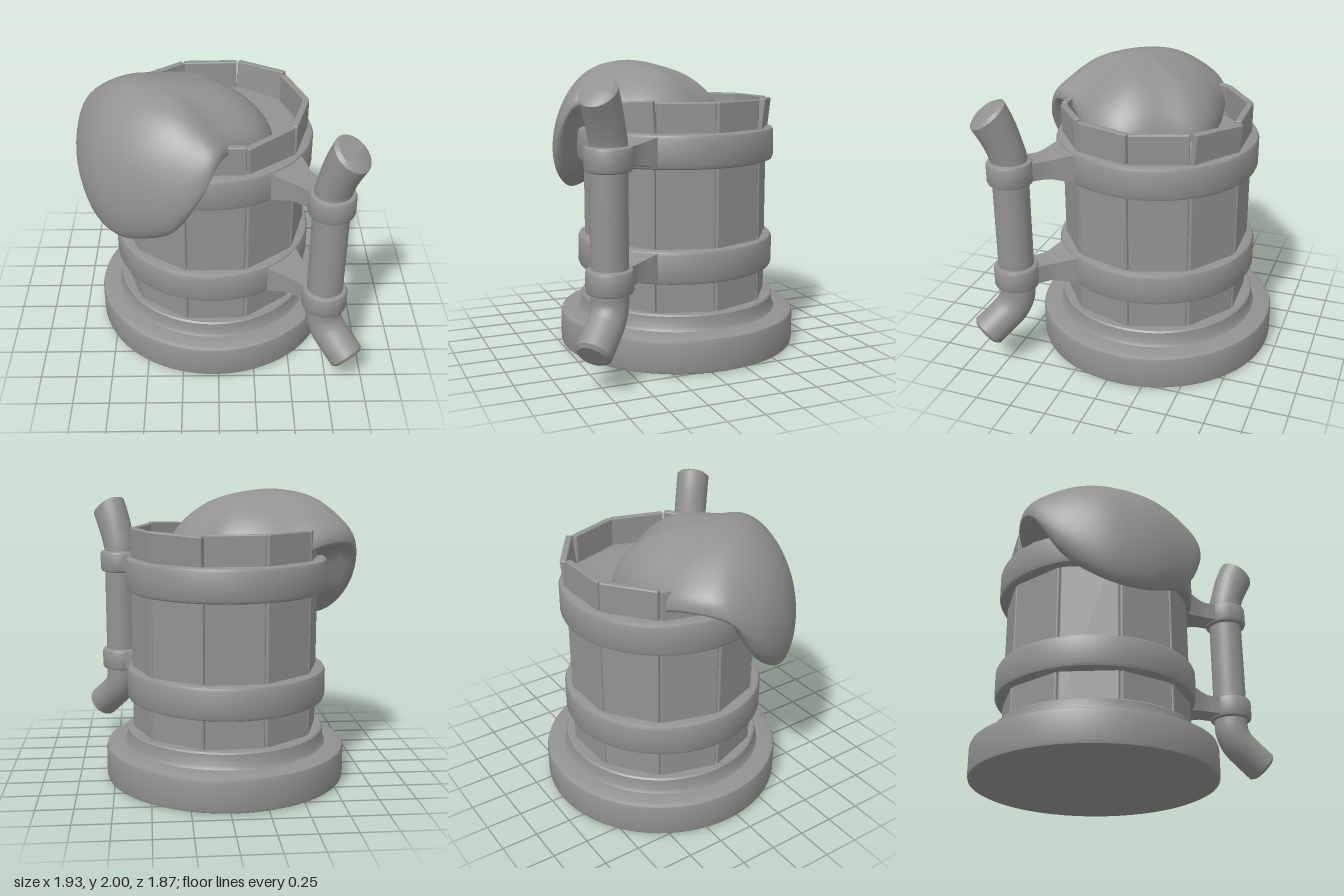
import * as THREE from 'three';
import { mergeVertices, mergeGeometries, toCreasedNormals } from 'three/addons/utils/BufferGeometryUtils.js';
import { RoundedBoxGeometry } from 'three/addons/geometries/RoundedBoxGeometry.js';
import { ParametricGeometry } from 'three/addons/geometries/ParametricGeometry.js';

const darkGrey = new THREE.MeshStandardMaterial({ color: 0x929292 });
const V = (x, y, z) => new THREE.Vector3(x, y, z);

function add(parent, name, geometry) {
  const mesh = new THREE.Mesh(geometry, darkGrey);
  mesh.name = name;
  parent.add(mesh);
  return mesh;
}

function lathe(profile, segments = 72) {
  const points = profile.map(([r, y]) => new THREE.Vector2(r, y));
  return toCreasedNormals(new THREE.LatheGeometry(points, segments), 0.7);
}

// Ring with softened outer edges
function ring(inner, outer, y0, y1, b) {
  return lathe([[inner, y0], [outer - b, y0], [outer - b * 0.3, y0 + b * 0.3], [outer, y0 + b],
    [outer, y1 - b], [outer - b * 0.3, y1 - b * 0.3], [outer - b, y1], [inner, y1]]);
}

// Move every vertex of a geometry by a rule
function warp(geometry, rule) {
  const p = geometry.attributes.position, v = V(0, 0, 0);
  for (let i = 0; i < p.count; i++) {
    v.fromBufferAttribute(p, i);
    rule(v);
    p.setXYZ(i, v.x, v.y, v.z);
  }
  return geometry;
}

// Soft blob that fills the mug mouth and spills over the rim
function foamGeometry() {
  // Widest outline: x, height, z
  const rim = new THREE.CatmullRomCurve3([
    [0.37, 1.53, 0.08], [0.33, 1.55, 0.26], [0.09, 1.7, 0.5], [0.0, 1.71, 0.66], [-0.09, 1.56, 0.74],
    [-0.26, 1.41, 0.75], [-0.49, 1.35, 0.68], [-0.69, 1.32, 0.56], [-0.87, 1.34, 0.34],
    [-0.96, 1.45, 0.03], [-0.9, 1.64, -0.21], [-0.69, 1.66, -0.38], [-0.43, 1.57, -0.44],
    [-0.15, 1.54, -0.46], [0.06, 1.53, -0.41], [0.19, 1.53, -0.23], [0.33, 1.53, -0.05],
  ].map((p) => V(...p)), true);
  const crown = V(-0.37, 2.0, 0.15);
  const g = new ParametricGeometry((u, v, out) => {
    const e = rim.getPoint(u % 1);
    const drop = 0.04 + 0.8 * Math.max(0, 1.6 - e.y);
    let r, y;
    if (v < 0.6) {
      // Dome, round at the crown and following the outline lower down
      const a = (v / 0.6) * Math.PI / 2;
      r = Math.sin(a);
      const foot = THREE.MathUtils.lerp(1.47, e.y, r * r);
      y = foot + (crown.y - foot) * Math.cos(a);
    } else if (v < 0.85) {
      // Rolled lip
      const a = ((v - 0.6) / 0.25) * Math.PI / 2;
      r = 0.84 + 0.16 * Math.cos(a);
      y = e.y - drop * Math.sin(a);
    } else {
      // Underside, closing inside the mug
      const t = (v - 0.85) / 0.15;
      r = 0.84 * (1 - t);
      y = THREE.MathUtils.lerp(e.y - drop, 1.4, t);
    }
    const x = crown.x + (e.x - crown.x) * r, z = crown.z + (e.z - crown.z) * r;
    const soft = v < 0.6 ? Math.sin(v / 0.6 * Math.PI) : 0;
    out.set(x, y + 0.015 * soft * Math.sin(9 * x + 1) * Math.cos(7 * z), z);
  }, 96, 60);
  g.deleteAttribute('normal');
  g.deleteAttribute('uv');
  const merged = mergeVertices(g, 1e-4);
  merged.computeVertexNormals();
  return merged;
}

// Round bar, bent outward at both ends
function handleGeometry() {
  const path = new THREE.CatmullRomCurve3([
    [1.295, 0.275], [1.2, 0.35], [1.11, 0.43], [1.07, 0.51], [1.065, 0.6], [1.065, 0.8], [1.065, 1.1],
    [1.065, 1.4], [1.068, 1.53], [1.095, 1.62], [1.14, 1.73], [1.185, 1.84],
  ].map(([s, y]) => V(0, y, s)), false, 'centripetal');
  const parts = [new THREE.TubeGeometry(path, 70, 0.12, 28)];
  for (const t of [0, 1]) {
    const cap = new THREE.CylinderGeometry(0.095, 0.12, 0.02, 28);
    const dir = path.getTangent(t).multiplyScalar(t ? 1 : -1);
    cap.applyQuaternion(new THREE.Quaternion().setFromUnitVectors(V(0, 1, 0), dir));
    const c = path.getPoint(t).addScaledVector(dir, 0.01);
    cap.translate(c.x, c.y, c.z);
    parts.push(cap);
  }
  // Slant the upper end
  const g = warp(mergeGeometries(parts), (v) => {
    v.y -= 0.3 * (v.z - 1.185) * THREE.MathUtils.smoothstep(v.y, 1.6, 1.8);
  });
  return toCreasedNormals(g, 0.6);
}

// Bracket between band and bar, flaring toward the band
function armGeometry() {
  const g = new THREE.BoxGeometry(1, 1, 1, 1, 1, 10);
  warp(g, (v) => {
    const t = v.z + 0.5;
    const flare = 1 - THREE.MathUtils.smoothstep(t, 0, 0.65);
    v.x *= 0.17 + 0.15 * flare;
    v.y *= 0.125 + 0.08 * flare;
    v.z = 0.62 + 0.38 * t;
  });
  return toCreasedNormals(g, 0.6);
}

export function createModel() {
  const model = new THREE.Group();
  model.name = 'mug';
  const mug = new THREE.Group();
  mug.name = 'mugBody';
  mug.position.set(-0.03, 0, -0.09);
  model.add(mug);

  // Stepped foot and inner fill
  add(mug, 'base', lathe([[0, 0], [0.81, 0], [0.835, 0.012], [0.84, 0.03], [0.84, 0.21], [0.832, 0.235],
    [0.8, 0.25], [0.71, 0.252], [0.695, 0.275], [0.69, 0.35], [0.68, 0.36], [0, 0.36]]));
  add(mug, 'drinkSurface', lathe([[0, 0.3], [0.59, 0.3], [0.59, 1.51], [0.575, 1.52], [0.565, 1.55], [0, 1.55]]));

  // Ten staves; the exposed tops sit slightly loose
  const loose = { 1: [0.03, 0.06, 0], 4: [0.1, -0.04, 0.015] };
  for (let k = 0; k < 10; k++) {
    const stave = new THREE.Group();
    stave.name = 'stave';
    stave.position.z = 0.01;
    stave.rotation.y = THREE.MathUtils.degToRad(1.5 + 36 * k);
    mug.add(stave);
    add(stave, 'staveBody', new RoundedBoxGeometry(0.39, 1.2, 0.06, 2, 0.012)).position.set(0, 0.9, 0.593);
    const [tilt, roll, out] = loose[k] || [0, 0, 0];
    const top = add(stave, 'staveTop', new RoundedBoxGeometry(0.385, 0.34, 0.045, 2, 0.01));
    top.position.set(0, 1.58, 0.6 + out);
    top.rotation.set(tilt, 0, roll);
  }

  // Handle assembly, pointing out along its local z
  const handle = new THREE.Group();
  handle.name = 'handle';
  handle.rotation.y = THREE.MathUtils.degToRad(44);
  mug.add(handle);
  add(handle, 'handleBar', handleGeometry());

  // Hoops with their brackets and collars
  for (const y of [0.675, 1.435]) {
    add(mug, 'hoop', ring(0.58, 0.695, y - 0.115, y + 0.115, 0.03)).position.set(-0.01, 0, 0.01);
    add(handle, 'bracket', armGeometry()).position.y = y;
    add(handle, 'collar', ring(0.1, 0.152, y - 0.08, y + 0.08, 0.025)).position.z = 1.065;
  }

  add(model, 'foam', foamGeometry());
  return model;
}
